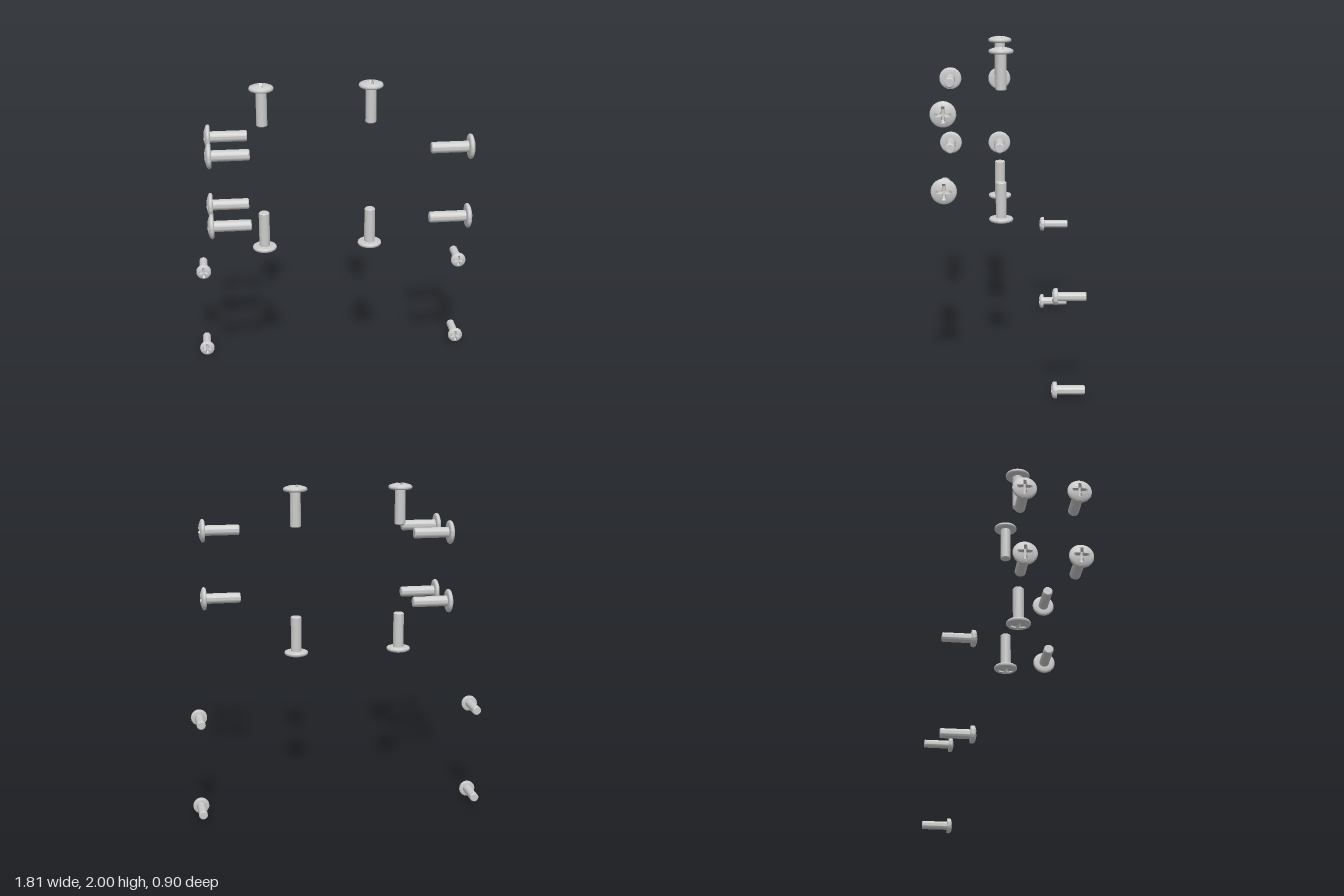
import * as THREE from 'three';
import { toCreasedNormals } from 'three/addons/utils/BufferGeometryUtils.js';

const material = new THREE.MeshStandardMaterial({ color: 0xcccccc });

// Screw pointing head-up, top of the dome at y = 0.
function screwGeometry({ length, shaft, rim, dome, crossLength, crossWidth, depth }) {
  const tip = Math.atan2(crossWidth, crossLength);
  const angles = [];
  for (let q = 0; q < 4; q++) {
    for (let i = 0; i < 4; i++) angles.push(q * Math.PI / 2 - tip + i * tip / 2);
    for (let i = 0; i < 9; i++) angles.push(q * Math.PI / 2 + tip + (i + 0.01) * (Math.PI / 2 - 2 * tip) / 9);
  }
  // cross-shaped recess outline, with a round centre
  const cross = t => {
    const f = t - Math.round(t / (Math.PI / 2)) * Math.PI / 2;
    const arm = Math.min(crossLength / Math.cos(f), crossWidth / Math.max(Math.abs(Math.sin(f)), 1e-6));
    return Math.max(arm, crossWidth * 1.75);
  };
  const [edgeR, edgeY] = dome;
  const domeY = r => edgeY * (r / edgeR) ** 2;
  const chamfer = shaft * 0.18;

  // profile from the shaft end, up around the head, and down into the recess
  const profile = t => {
    const c = cross(t);
    const points = [
      [0, -length], [shaft - chamfer, -length], [shaft, -length + chamfer],
      [shaft, rim[0][1]], ...rim,
    ];
    for (let i = 0; i <= 5; i++) {
      const r = edgeR + (c - edgeR) * i / 5;
      points.push([r, domeY(r)]);
    }
    points.push([c * 0.65, -depth], [0, -depth * 1.1]);
    return points;
  };

  const columns = angles.map(t => profile(t).map(([r, y]) =>
    [r * Math.cos(t), y, -r * Math.sin(t)]));
  const positions = [];
  const last = columns[0].length - 2;
  columns.forEach((col, j) => {
    const next = columns[(j + 1) % columns.length];
    for (let i = 0; i <= last; i++) {
      if (i > 0) positions.push(...col[i], ...next[i], ...next[i + 1]);
      if (i < last) positions.push(...col[i], ...next[i + 1], ...col[i + 1]);
    }
  });
  const geometry = new THREE.BufferGeometry();
  geometry.setAttribute('position', new THREE.Float32BufferAttribute(positions, 3));
  return toCreasedNormals(geometry, 0.6);
}

export function createModel() {
  const model = new THREE.Group();

  const large = screwGeometry({
    length: 0.265, shaft: 0.034, dome: [0.066, -0.014],
    rim: [[0.064, -0.04], [0.07, -0.038], [0.0745, -0.033], [0.076, -0.027], [0.0745, -0.021], [0.071, -0.0165]],
    crossLength: 0.048, crossWidth: 0.01, depth: 0.03,
  });
  const small = screwGeometry({
    length: 0.2, shaft: 0.027, dome: [0.042, -0.008],
    rim: [[0.046, -0.034], [0.049, -0.032], [0.049, -0.018], [0.0475, -0.013], [0.0455, -0.0105]],
    crossLength: 0.036, crossWidth: 0.007, depth: 0.022,
  });

  const up = new THREE.Vector3(0, 1, 0);
  const addScrew = (name, geometry, position, direction) => {
    const screw = new THREE.Mesh(geometry, material);
    screw.name = name;
    screw.position.set(...position);
    screw.quaternion.setFromUnitVectors(up, new THREE.Vector3(...direction));
    model.add(screw);
  };

  // vertical screws, heads outward above and below
  for (const x of [-0.463, 0.206]) {
    addScrew('topScrew', large, [x, 2, 0.035], [0, 1, 0]);
    addScrew('bottomScrew', large, [x, 0.9, 0.035], [0, -1, 0]);
  }

  // sideways screws, heads outward
  for (const y of [1.677, 1.229]) {
    addScrew('leftSideScrew', large, [0.788, y, 0.372], [1, 0, 0]);
    for (const z of [0.035, 0.372]) addScrew('rightSideScrew', large, [-0.82, y, z], [-1, 0, 0]);
  }

  // small screws facing the front
  for (const x of [-0.858, 0.858])
    for (const y of [0.05, 0.625]) addScrew('smallFrontScrew', small, [x, y, -0.249], [0, 0, 1]);

  return model;
}
